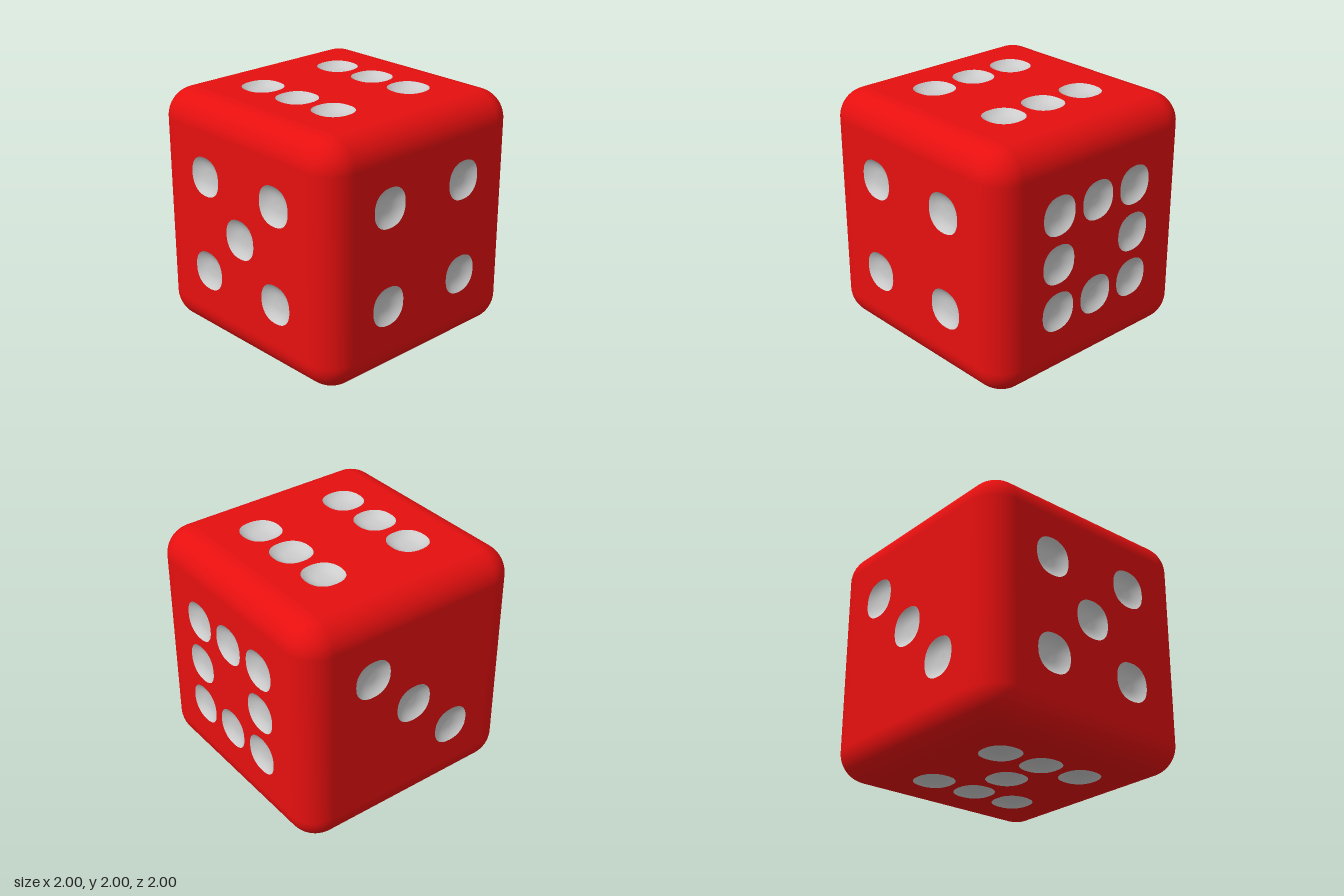
import * as THREE from 'three';
import { RoundedBoxGeometry } from 'three/addons/geometries/RoundedBoxGeometry.js';

const EDGE = 0.24;      // edge rounding radius
const PIP = 0.16;       // pip radius
const DEPTH = 0.05;     // pip depth
const SIDES = 40;
const S = 0.4;          // pip spacing

// Slightly squared circle: factor on the radius at a given angle
const squircle = (a) => Math.pow(Math.abs(Math.cos(a)) ** 2.3 + Math.abs(Math.sin(a)) ** 2.3, -1 / 2.3);

// Rounded edges and corners: a rounded box without its six flat panels
function shellGeometry() {
  const box = new RoundedBoxGeometry(2, 2, 2, 7, EDGE);
  const p = box.attributes.position, n = box.attributes.normal;
  const pos = [], nor = [];
  const flat = (i) => Math.max(Math.abs(n.getX(i)), Math.abs(n.getY(i)), Math.abs(n.getZ(i))) > 0.9999;
  for (let i = 0; i < p.count; i += 3) {
    const same = [1, 2].every((k) =>
      Math.abs(n.getX(i) - n.getX(i + k)) + Math.abs(n.getY(i) - n.getY(i + k)) + Math.abs(n.getZ(i) - n.getZ(i + k)) < 1e-3);
    if (same && flat(i)) continue;
    for (let k = i; k < i + 3; k++) {
      pos.push(p.getX(k), p.getY(k), p.getZ(k));
      nor.push(n.getX(k), n.getY(k), n.getZ(k));
    }
  }
  const g = new THREE.BufferGeometry();
  g.setAttribute('position', new THREE.Float32BufferAttribute(pos, 3));
  g.setAttribute('normal', new THREE.Float32BufferAttribute(nor, 3));
  return g;
}

// Flat panel with an opening for every pip
function panelGeometry(spots) {
  const h = 1 - EDGE;
  const shape = new THREE.Shape([[-h, -h], [h, -h], [h, h], [-h, h]].map(([x, y]) => new THREE.Vector2(x, y)));
  for (const [u, v] of spots) {
    const ring = [];
    for (let i = 0; i < SIDES; i++) {
      const a = (i / SIDES) * Math.PI * 2, r = PIP * squircle(a);
      ring.push(new THREE.Vector2(u + r * Math.cos(a), v + r * Math.sin(a)));
    }
    shape.holes.push(new THREE.Path(ring));
  }
  return new THREE.ShapeGeometry(shape);
}

// Shallow bowl, open towards +z, rim at z = 0
function pipGeometry() {
  const profile = [];
  for (let i = 8; i >= 0; i--) {
    const t = Math.sqrt(i / 8);
    profile.push(new THREE.Vector2(PIP * t, -DEPTH * (1 - t ** 3)));
  }
  const g = new THREE.LatheGeometry(profile, SIDES).rotateX(Math.PI / 2);
  const p = g.attributes.position;
  for (let i = 0; i < p.count; i++) {
    const k = squircle(Math.atan2(p.getY(i), p.getX(i)));
    p.setXY(i, p.getX(i) * k, p.getY(i) * k);
  }
  g.computeVertexNormals();
  return g;
}

export function createModel() {
  const model = new THREE.Group();
  model.name = 'die';
  const red = new THREE.MeshStandardMaterial({ color: 0xe60f0f });
  const grey = new THREE.MeshStandardMaterial({ color: 0xcccccc });

  const cube = new THREE.Group();
  cube.name = 'cube';
  cube.position.y = 1;
  model.add(cube);

  const shell = new THREE.Mesh(shellGeometry(), red);
  shell.name = 'roundedEdges';
  cube.add(shell);

  // Pip layouts, in each face's own right/up directions
  const corners = [[-S, S], [S, S], [-S, -S], [S, -S]];
  const centre = [[0, 0]];
  const sides = [[-S, 0], [S, 0]];
  const ends = [[0, S], [0, -S]];
  const q = Math.PI / 2;
  const faces = [
    ['front', [0, 0, 0], corners],
    ['back', [0, 2 * q, 0], [[-S, S], [0, 0], [S, -S]]],
    ['right', [0, q, 0], [...corners, ...sides, ...ends]],
    ['left', [0, -q, 0], [...corners, ...centre]],
    ['top', [-q, 0, 0], [...corners, ...sides]],
    ['bottom', [q, 0, 0], [...corners, ...sides, ...centre]],
  ];

  const bowl = pipGeometry();
  for (const [name, rotation, spots] of faces) {
    const face = new THREE.Group();
    face.name = name + 'Face';
    face.rotation.set(...rotation);
    const panel = new THREE.Mesh(panelGeometry(spots), red);
    panel.name = name + 'Panel';
    panel.position.z = 1;
    face.add(panel);
    spots.forEach(([u, v], i) => {
      const pip = new THREE.Mesh(bowl, grey);
      pip.name = name + 'Pip' + (i + 1);
      pip.position.set(u, v, 1);
      face.add(pip);
    });
    cube.add(face);
  }
  return model;
}
